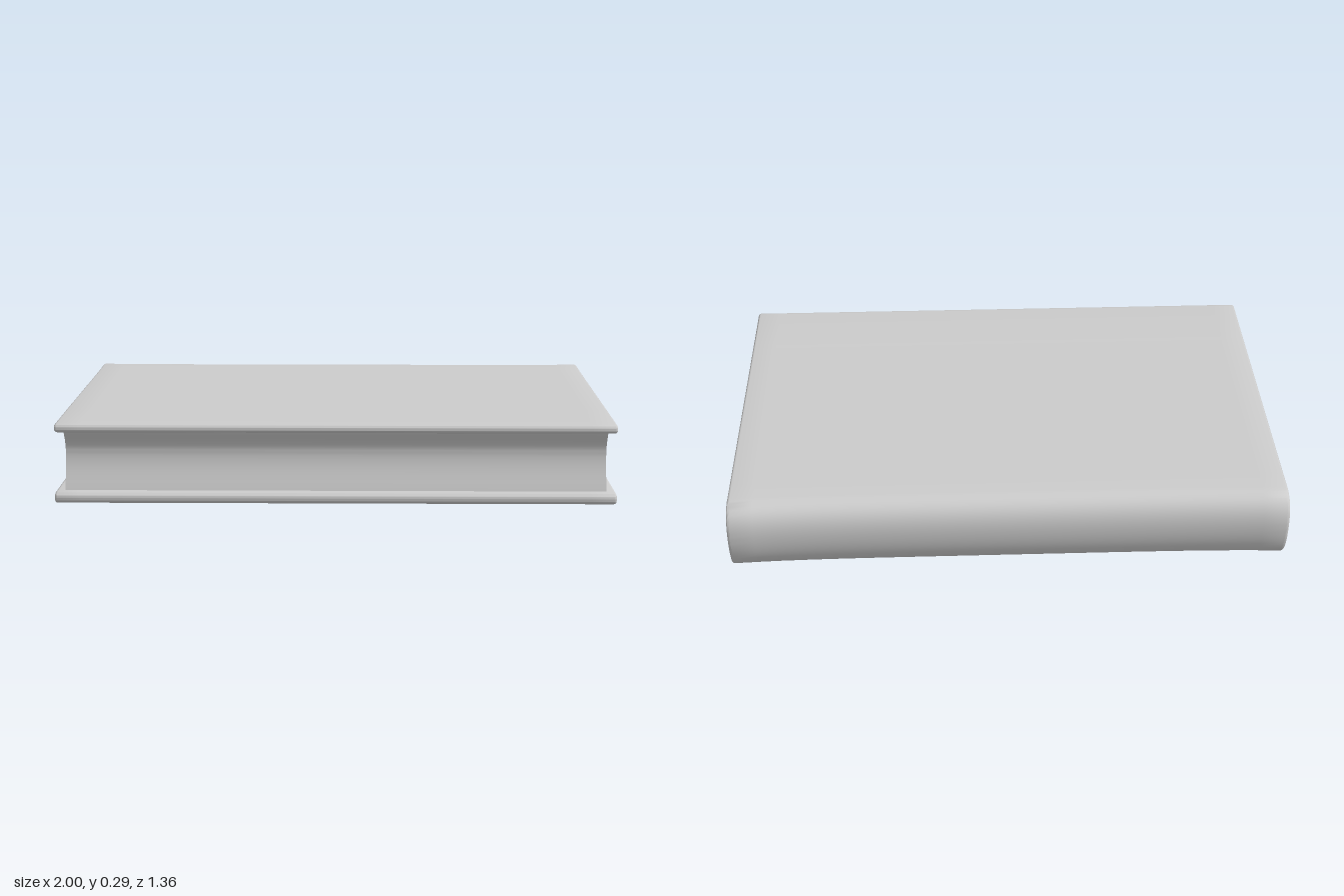
import * as THREE from 'three';
import { toCreasedNormals } from 'three/addons/utils/BufferGeometryUtils.js';

const material = new THREE.MeshStandardMaterial({ color: 0xcccccc });

// Extrude a (z, y) profile along x, centred, with soft rounded rims.
function extrudeAlongX(shape, halfWidth, bevel, steps) {
  const geo = new THREE.ExtrudeGeometry(shape, {
    depth: 2 * (halfWidth - bevel),
    steps,
    curveSegments: 14,
    bevelEnabled: bevel > 0,
    bevelSize: bevel,
    bevelThickness: bevel,
    bevelOffset: -bevel,
    bevelSegments: 3,
  });
  geo.translate(0, 0, -(halfWidth - bevel));
  geo.rotateY(-Math.PI / 2);
  return geo;
}

// Hand-worn look: the spine flares at its ends, the fore edge is slightly narrower.
function wear(geo) {
  const p = geo.attributes.position;
  for (let i = 0; i < p.count; i++) {
    const x = p.getX(i), z = p.getZ(i);
    const back = THREE.MathUtils.smoothstep(-z, 0.4, 0.65);
    p.setZ(i, z - 0.014 * back * Math.abs(x) ** 5);
    p.setX(i, x * (1 - 0.012 * THREE.MathUtils.smoothstep(z, -0.6, 0.66)));
  }
  return geo;
}

// Case: lower board, rounded spine and upper board in one bent sheet.
function coverShape() {
  const s = new THREE.Shape();
  s.moveTo(0.665, 0);
  s.lineTo(-0.57, 0);
  s.bezierCurveTo(-0.635, 0.005, -0.668, 0.09, -0.668, 0.17);
  s.bezierCurveTo(-0.668, 0.235, -0.645, 0.284, -0.58, 0.287);
  s.lineTo(-0.5, 0.283);
  s.lineTo(0.4, 0.283);
  s.lineTo(0.64, 0.28);
  s.quadraticCurveTo(0.657, 0.278, 0.657, 0.262);
  s.quadraticCurveTo(0.655, 0.248, 0.63, 0.247);
  s.lineTo(0.4, 0.253);
  s.lineTo(-0.5, 0.245);
  s.bezierCurveTo(-0.6, 0.243, -0.637, 0.23, -0.637, 0.17);
  s.bezierCurveTo(-0.637, 0.11, -0.62, 0.045, -0.55, 0.036);
  s.lineTo(0.66, 0.04);
  s.quadraticCurveTo(0.681, 0.038, 0.681, 0.02);
  s.quadraticCurveTo(0.681, 0.002, 0.665, 0);
  return s;
}

// Page block: hollow fore edge, back rounded to sit inside the spine.
function pageShape() {
  const s = new THREE.Shape();
  s.moveTo(0.645, 0.03);
  s.lineTo(-0.55, 0.03);
  s.bezierCurveTo(-0.625, 0.045, -0.645, 0.11, -0.645, 0.17);
  s.bezierCurveTo(-0.645, 0.23, -0.605, 0.25, -0.55, 0.257);
  s.lineTo(0.645, 0.26);
  s.bezierCurveTo(0.64, 0.235, 0.608, 0.215, 0.608, 0.17);
  s.bezierCurveTo(0.608, 0.12, 0.632, 0.075, 0.645, 0.03);
  return s;
}

export function createModel() {
  const book = new THREE.Group();
  book.name = 'book';

  const cover = new THREE.Mesh(
    toCreasedNormals(wear(extrudeAlongX(coverShape(), 1, 0.01, 24)), 0.8), material);
  cover.name = 'cover';

  const pages = new THREE.Mesh(
    toCreasedNormals(extrudeAlongX(pageShape(), 0.955, 0, 1), 0.8), material);
  pages.name = 'pageBlock';

  book.add(cover, pages);
  return book;
}
